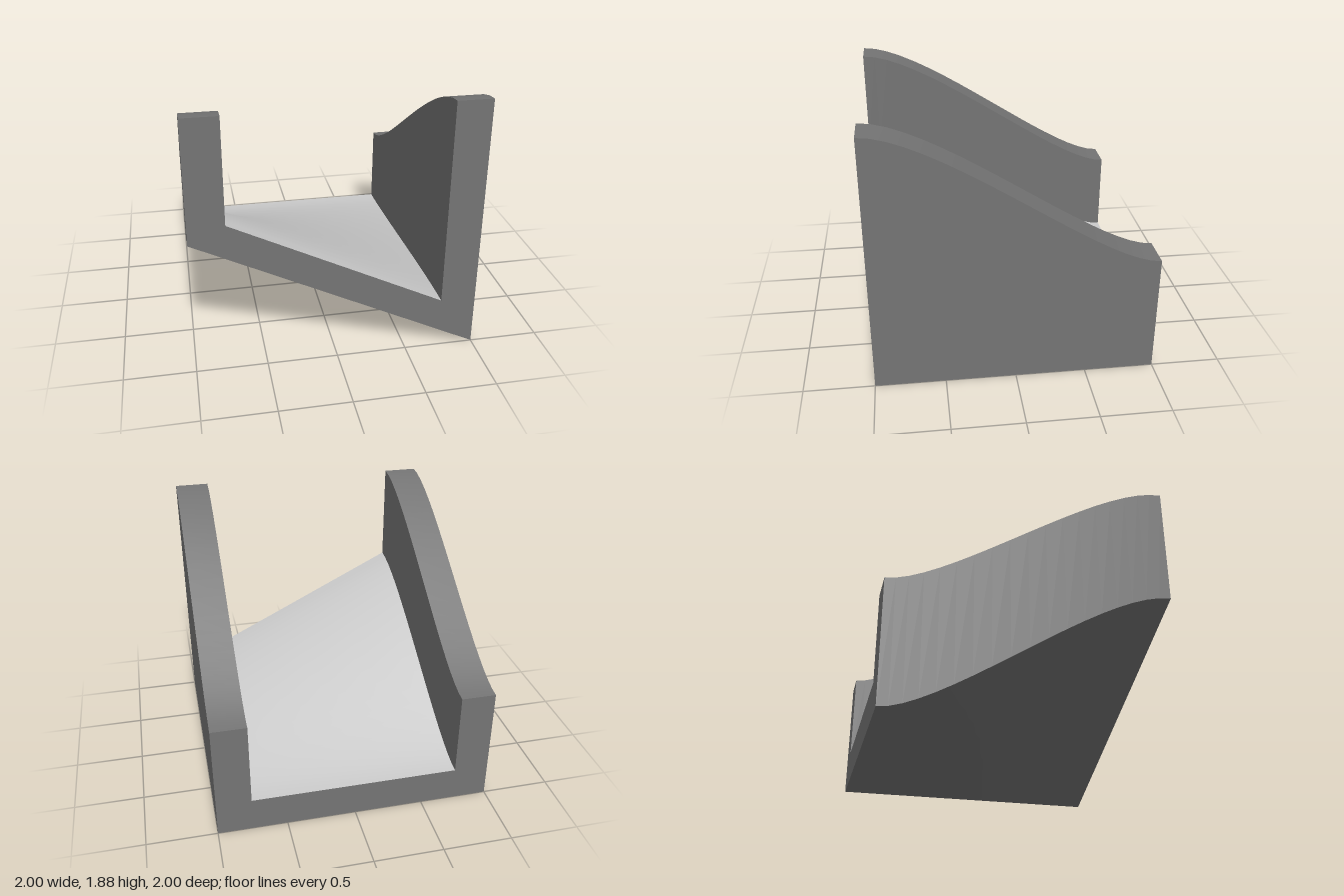
import * as THREE from 'three';
import { toCreasedNormals } from 'three/addons/utils/BufferGeometryUtils.js';

const WALL_TOP = 0.875, FLOOR = 0.25, INNER = 0.75;

// S-shaped rise along the length: x = z position, y = lift
const rise = new THREE.CubicBezierCurve(
  new THREE.Vector2(-1, 0), new THREE.Vector2(-0.6, 0),
  new THREE.Vector2(0.5, 1), new THREE.Vector2(1, 1));

// U-shaped section, swept straight before it is bent
const section = new THREE.Shape([
  [-1, 0], [1, 0], [1, WALL_TOP], [INNER, WALL_TOP],
  [INNER, FLOOR], [-INNER, FLOOR], [-INNER, WALL_TOP], [-1, WALL_TOP],
].map(([x, y]) => new THREE.Vector2(x, y)));

// Wall tops rise level; the floor and underside bank up towards -x
function bend(x, y, z) {
  const p = rise.getPoint(z);
  const share = y === WALL_TOP ? 1 : (1 - x) / 2;
  return [x, y + p.y * share, p.x];
}

// One coloured part: either the floor surface or everything else
function makePart(name, color, sweep, wantFloor) {
  const src = sweep.attributes.position;
  const points = [];
  for (let i = 0; i < src.count; i += 3) {
    const corners = [i, i + 1, i + 2];
    const isFloor = corners.every(k => src.getY(k) === FLOOR);
    if (isFloor !== wantFloor) continue;
    for (const k of corners) points.push(...bend(src.getX(k), src.getY(k), src.getZ(k)));
  }
  const geometry = new THREE.BufferGeometry();
  geometry.setAttribute('position', new THREE.Float32BufferAttribute(points, 3));
  const mesh = new THREE.Mesh(
    toCreasedNormals(geometry, 1),
    new THREE.MeshStandardMaterial({ color }));
  mesh.name = name;
  return mesh;
}

export function createModel() {
  const group = new THREE.Group();
  group.name = 'twistedChannel';
  const sweep = new THREE.ExtrudeGeometry(section, { depth: 1, steps: 18, bevelEnabled: false });
  group.add(
    makePart('wallsAndUnderside', 0x747474, sweep, false),
    makePart('floorSurface', 0xcccccc, sweep, true));
  return group;
}
